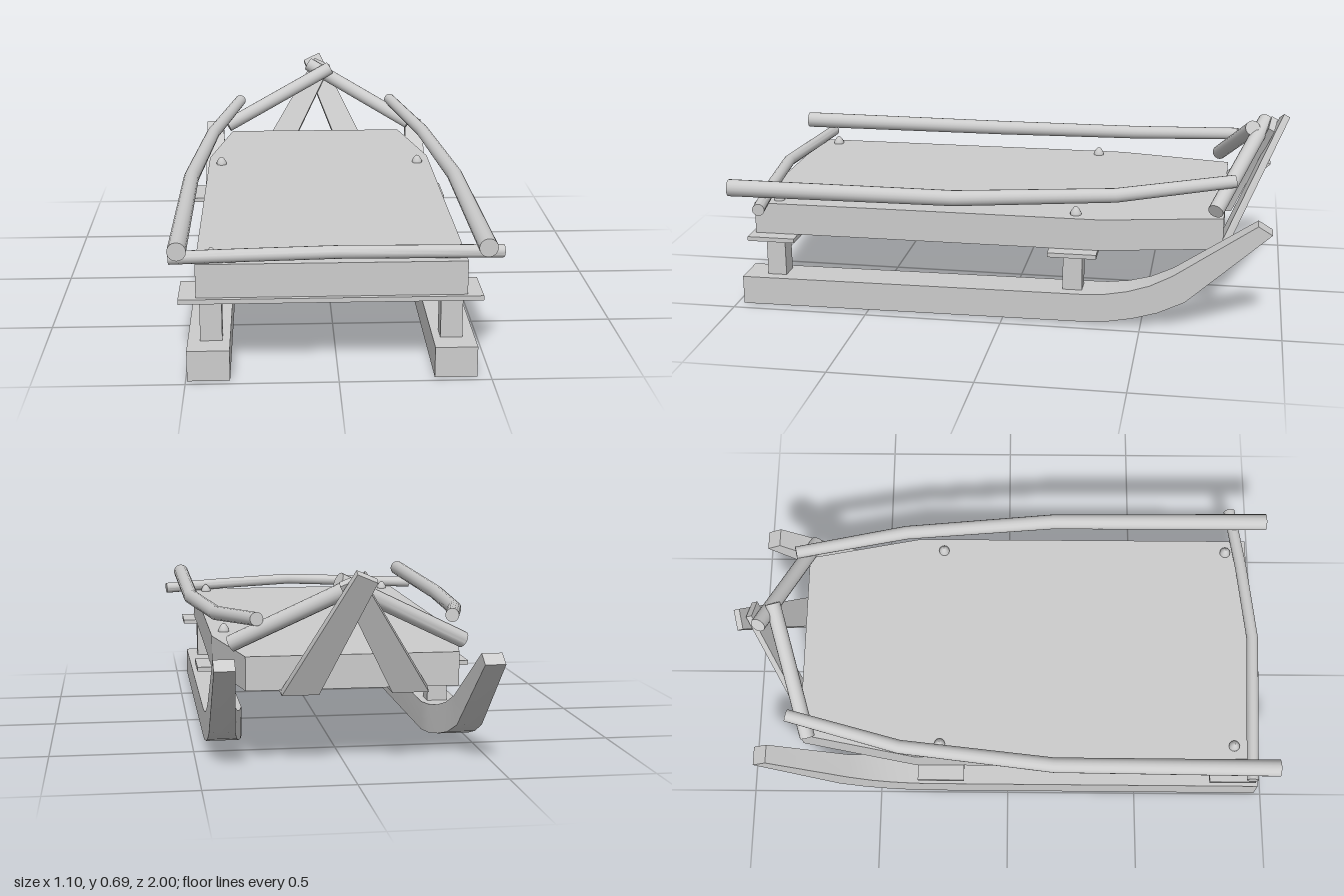
import * as THREE from 'three';
import { toCreasedNormals } from 'three/addons/utils/BufferGeometryUtils.js';

const CX = -0.02; // centre line of the sled body
const material = new THREE.MeshStandardMaterial({ color: 0xcccccc });
const V = (x, y, z) => new THREE.Vector3(x, y, z);

// Solid skinned over rings of points, each counter-clockwise about the direction of travel
function loft(rings) {
  const n = rings[0].length, index = [];
  for (let r = 0; r < rings.length - 1; r++) {
    for (let i = 0; i < n; i++) {
      const a = r * n + i, b = r * n + (i + 1) % n;
      index.push(a, b, b + n, a, b + n, a + n);
    }
  }
  const last = (rings.length - 1) * n;
  for (let i = 1; i < n - 1; i++) {
    index.push(0, i + 1, i, last, last + i, last + i + 1);
  }
  const g = new THREE.BufferGeometry().setFromPoints(rings.flat());
  g.setIndex(index);
  return toCreasedNormals(g, 0.6);
}

// Round bar through points, with a radius at either end
function rod(points, r0, r1 = r0, sides = 16) {
  const p = points.map((a) => V(...a)), end = p.length - 1;
  return loft(p.map((c, k) => {
    const t = p[Math.min(k + 1, end)].clone().sub(p[Math.max(k - 1, 0)]).normalize();
    const u = V(0, 1, 0).addScaledVector(t, -t.y).normalize();
    const v = t.clone().cross(u);
    const r = r0 + (r1 - r0) * k / end;
    return Array.from({ length: sides }, (_, i) => {
      const a = i / sides * Math.PI * 2;
      return c.clone().addScaledVector(u, r * Math.cos(a)).addScaledVector(v, r * Math.sin(a));
    });
  }));
}

export function createModel() {
  const group = new THREE.Group();
  const add = (name, geometry, x = 0, y = 0, z = 0) => {
    const m = new THREE.Mesh(geometry, material);
    m.name = name;
    m.position.set(x, y, z);
    group.add(m);
    return m;
  };

  // Deck: board that narrows towards the back
  const outline = [[0.443, 0.925], [0.443, -0.35], [0.36, -0.78]];
  const shape = new THREE.Shape([
    ...outline.map(([x, z]) => new THREE.Vector2(x, -z)),
    ...outline.slice().reverse().map(([x, z]) => new THREE.Vector2(-x, -z)),
  ]);
  const deck = new THREE.ExtrudeGeometry(shape, { depth: 0.115, bevelEnabled: false });
  add('deck', deck.rotateX(-Math.PI / 2), CX, 0.27, 0);

  // Runners: [bottom z, bottom y, top z, top y, inner edge]
  const runner = [
    [0.975, 0, 0.975, 0.105, 0.335],
    [-0.3, 0.007, -0.3, 0.112, 0.335],
    [-0.38, 0.013, -0.37, 0.117, 0.345],
    [-0.47, 0.03, -0.45, 0.132, 0.36],
    [-0.56, 0.057, -0.53, 0.158, 0.373],
    [-0.655, 0.103, -0.61, 0.2, 0.385],
    [-0.95, 0.37, -0.9, 0.4, 0.405],
  ];
  for (const s of [1, -1]) {
    const side = s > 0 ? 'left' : 'right';
    add(side + 'Runner', loft(runner.map(([zb, yb, zt, yt, inner]) => {
      const xs = [CX + s * inner, CX + s * 0.475].sort((a, b) => b - a);
      return [V(xs[0], yb, zb), V(xs[1], yb, zb), V(xs[1], yt, zt), V(xs[0], yt, zt)];
    })));

    // Posts and bolts
    for (const z of [0.855, -0.25]) {
      add(side + 'Post', new THREE.BoxGeometry(0.073, 0.16, 0.07), CX + s * 0.397, 0.18, z);
    }
    const bolt = [[0.02, 0], [0.02, 0.008], [0.013, 0.02], [0.006, 0.028], [0, 0.03]];
    for (const z of [0.845, -0.255]) {
      add(side + 'Bolt', new THREE.LatheGeometry(bolt.map((b) => new THREE.Vector2(...b)), 12),
        CX + s * 0.393, 0.385, z);
    }

    // Side rails, bent inwards and up at the back
    add(side + 'Rail', rod([
      [CX + s * 0.495, 0.455, 1], [CX + s * 0.49, 0.455, 0.17],
      [CX + s * 0.43, 0.475, -0.4], [CX + s * 0.325, 0.515, -0.815],
    ], 0.031, 0.023));
  }

  // Cross boards between posts and deck
  for (const z of [0.853, -0.253]) {
    add('crossBoard', new THREE.BoxGeometry(0.995, 0.016, 0.175), -0.023, 0.262, z);
  }

  // Front bar, slightly bowed
  add('frontBar', rod([
    [-0.548, 0.402, 0.905], [-0.3, 0.412, 0.915], [0, 0.423, 0.928],
    [0.3, 0.411, 0.9], [0.545, 0.399, 0.868],
  ], 0.022));

  // Crossed handle bars at the back
  add('handleBar', rod([[-0.4, 0.42, -0.745], [0.045, 0.643, -0.868]], 0.028));
  add('handleBar', rod([[0.385, 0.425, -0.75], [-0.045, 0.652, -0.915]], 0.028));

  // Crossed slats: foot under the deck, then rising to the peak
  const slat = (foot, top, lean, slope, topY, thick) => {
    const w = 0.062, wt = 0.037;
    const back = (y) => -0.78 - (y - 0.265) * slope;
    const hi = topY + lean * wt * 0.4, lo = topY - lean * wt * 0.4;
    const xr = top + wt * 0.92, xl = top - wt * 0.92;
    return loft([
      [V(foot + w, 0.255, -0.62), V(foot - w, 0.255, -0.62),
        V(foot - w, 0.271, -0.62), V(foot + w, 0.271, -0.62)],
      [V(foot + w, 0.255, -0.78 - thick), V(foot - w, 0.255, -0.78 - thick),
        V(foot - w, 0.271, -0.78), V(foot + w, 0.271, -0.78)],
      [V(xr, hi - 0.012, back(hi) - thick), V(xl, lo - 0.012, back(lo) - thick),
        V(xl, lo, back(lo)), V(xr, hi, back(hi))],
    ]);
  };
  add('leftSlat', slat(0.16, -0.03, 1, 0.47, 0.675, 0.022));
  add('rightSlat', slat(-0.21, 0.017, -1, 0.38, 0.66, 0.022));

  return group;
}
